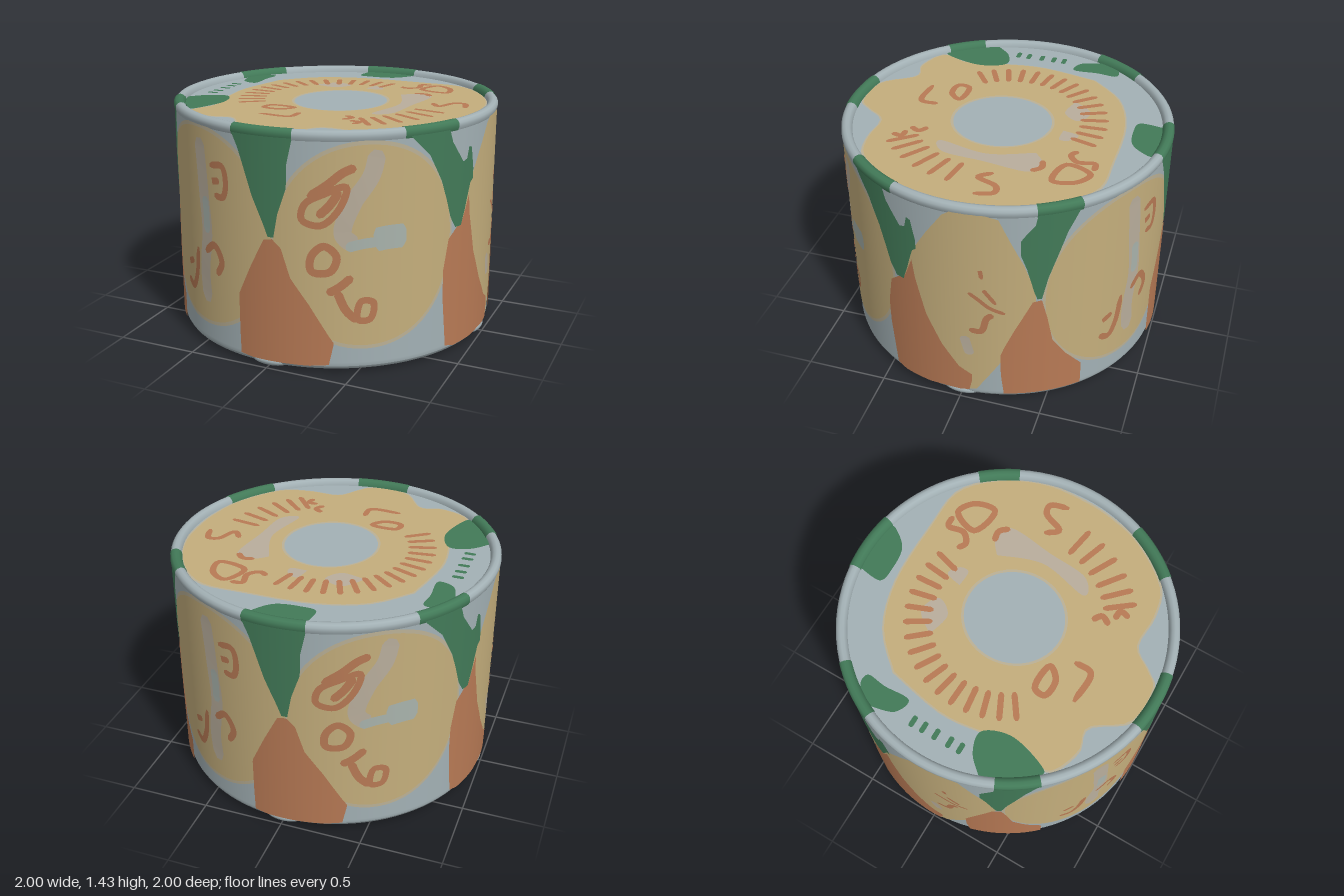
import * as THREE from 'three';

const R = 0.99, LID = 1.39, STEP = 0.002, DEG = Math.PI / 180;
const paint = (name, color) => {
  const m = new THREE.MeshStandardMaterial({ color, side: THREE.DoubleSide });
  m.name = name;
  return m;
};

export function createModel() {
  const group = new THREE.Group();
  const grey = paint('blueGrey', 0xa3b1b5), tan = paint('tan', 0xc4ae7c);
  const orange = paint('orange', 0xb87a55), green = paint('green', 0x427a58);
  const halo = paint('paleEdge', 0xbbb196), pale = paint('paleTaupe', 0xb9ae9c);
  const mist = paint('mistBlue', 0xa9b3ac);

  const add = (name, geo, mat) => {
    const mesh = new THREE.Mesh(geo, mat);
    mesh.name = name;
    group.add(mesh);
    return mesh;
  };
  // Surface maps: wall takes degrees round the drum and height, lid takes x and -z
  const wall = layer => (deg, y) => {
    const r = R + STEP * layer;
    return [r * Math.sin(deg * DEG), y, r * Math.cos(deg * DEG)];
  };
  const lid = layer => (x, v) => [x, LID + STEP * layer, -v];
  // Strip between two rows of points
  const strip = rows => {
    const pos = [], idx = [];
    rows.forEach(([a, b], i) => {
      pos.push(...a, ...b);
      const k = 2 * i;
      if (i) idx.push(k - 2, k, k + 1, k - 2, k + 1, k - 1);
    });
    const g = new THREE.BufferGeometry();
    g.setAttribute('position', new THREE.Float32BufferAttribute(pos, 3));
    g.setIndex(idx);
    g.computeVertexNormals();
    return g;
  };
  // Painted wall patch from columns [degrees, low y, high y]
  const wallPatch = (name, mat, cols, layer, turn) => {
    const map = wall(layer), rows = [];
    for (let i = 0; i < cols.length - 1; i++) {
      const [a, b] = [cols[i], cols[i + 1]];
      const n = Math.max(1, Math.ceil((b[0] - a[0]) / 2));
      for (let k = i ? 1 : 0; k <= n; k++) {
        const [d, lo, hi] = a.map((v, j) => v + (b[j] - v) * k / n);
        rows.push([map(d + turn, lo), map(d + turn, hi)]);
      }
    }
    add(name, strip(rows), mat);
  };
  // Brush stroke of even width along a smooth path; sx is surface units per u
  const stroke = (name, mat, pts, width, map, sx = 1, closed = false) => {
    const curve = new THREE.CatmullRomCurve3(
      pts.map(([u, v]) => new THREE.Vector3(u * sx, v, 0)), closed);
    const n = pts.length * 6, rows = [];
    for (let i = 0; i <= n; i++) {
      const p = curve.getPoint(i / n), t = curve.getTangent(i / n);
      const end = closed ? 1 : Math.min(1, 0.45 + Math.min(i, n - i) * 0.3);
      const w = width / 2 * end;
      rows.push([map((p.x + t.y * w) / sx, p.y - t.x * w), map((p.x - t.y * w) / sx, p.y + t.x * w)]);
    }
    add(name, strip(rows), mat);
  };
  const oval = (c, cy, w, h, e = 2) => {
    const cols = [];
    for (let i = 0; i <= 32; i++) {
      const s = -Math.cos(i / 32 * Math.PI);
      const t = h * Math.pow(Math.max(0, 1 - Math.abs(s) ** e), 1 / e);
      cols.push([c + s * w, cy - t, cy + t]);
    }
    return cols;
  };

  // Drum body with recessed underside
  const lathe = (pts, seg = 96, from = 0, arc = 360) => new THREE.LatheGeometry(
    pts.map(p => new THREE.Vector2(...p)), seg, from * DEG, arc * DEG);
  add('wall', lathe([[0.985, 0.045], [R, 0.07], [R, 1.385]]), grey);
  add('bottomLip', lathe([[0.925, 0.045], [0.935, 0.028], [0.955, 0.02], [0.975, 0.027], [0.985, 0.045]]), grey);
  add('underside', lathe([[0, 0.045], [0.925, 0.045]]), grey);
  add('lid', lathe([[0.94, LID], [0, LID]]), grey);
  const rim = [[R, 1.37], [0.998, 1.39], [0.997, 1.41], [0.985, 1.424], [0.968, 1.43],
    [0.95, 1.425], [0.937, 1.41], [0.933, LID]];
  add('rim', lathe(rim), grey);

  // Underside button and four feet
  const button = add('undersideButton', new THREE.SphereGeometry(1, 24, 12), grey);
  button.scale.set(0.1, 0.025, 0.1);
  button.position.y = 0.045;
  for (let i = 0; i < 4; i++) {
    const foot = add('foot', new THREE.SphereGeometry(1, 24, 12), grey);
    foot.scale.set(0.12, 0.035, 0.055);
    foot.rotation.y = i * Math.PI / 2;
    foot.position.set(0.94 * Math.sin(i * Math.PI / 2), 0.035, 0.94 * Math.cos(i * Math.PI / 2));
  }

  // Wall painting: one half, repeated on the opposite side
  const ovals = [[-29, 0.77, 32, 0.6, 2.15], [34, 0.765, 31, 0.595, 2.1]];
  const pointedOval = [[68, 0.78, 0.82], [74, 0.6, 1.03], [80, 0.36, 1.2], [86, 0.13, 1.35], [90, 0.06, 1.4],
    [96, 0.08, 1.4], [104, 0.3, 1.36], [108, 0.43, 1.2], [112, 0.58, 1.05], [116, 0.78, 0.85]];
  const carrots = [
    [[-10, 0.2, 0.42], [-9.8, 0.06, 0.44], [-5, 0.05, 0.62], [0, 0.05, 0.79], [3, 0.05, 0.8], [6, 0.05, 0.75],
      [9, 0.05, 0.58], [15, 0.05, 0.43], [21.5, 0.06, 0.24], [23, 0.18, 0.2]],
    [[62, 0.4, 0.56], [64, 0.07, 0.74], [68, 0.05, 0.8], [70, 0.05, 0.8], [74, 0.05, 0.97], [75, 0.05, 0.84],
      [78.5, 0.05, 0.6], [84, 0.06, 0.4], [90, 0.06, 0.25], [93.5, 0.07, 0.21], [94.5, 0.15, 0.2]],
    [[104.5, 0.22, 0.38], [105.5, 0.06, 0.43], [109, 0.06, 0.57], [115, 0.06, 0.78], [118, 0.06, 0.79],
      [120, 0.06, 0.65], [122, 0.06, 0.47], [127, 0.06, 0.34], [133, 0.06, 0.22]]];
  const leaves = [
    [[-11.5, 1.39, 1.41], [-9, 1.3, 1.41], [-7, 1.2, 1.41], [-4, 1.04, 1.41], [0, 0.88, 1.41], [1.5, 0.81, 1.41],
      [3.5, 0.81, 1.41], [5, 0.95, 1.41], [8, 1.1, 1.41], [8.3, 1.24, 1.41], [10, 1.37, 1.41]],
    [[48, 1.38, 1.41], [55, 1.26, 1.41], [60, 1.1, 1.41], [62.5, 0.98, 1.41], [64.5, 0.87, 1.31], [67, 0.8, 1.25],
      [70, 0.8, 1.18], [72, 0.9, 1.19], [73, 0.96, 1.26], [74.5, 1.04, 1.25], [76, 1.06, 1.12]],
    [[111, 1.12, 1.22], [113, 1.02, 1.27], [115.5, 0.85, 1.32], [116.5, 0.8, 1.41], [118, 0.8, 1.41],
      [120, 0.95, 1.41], [123, 1.1, 1.41], [126, 1.25, 1.41], [130, 1.38, 1.41]]];
  const rimLeaves = [[-11.5, 21.5], [46, 21], [116, 15]];
  const wallMarks = [ // width, closed, points
    [0.04, true, [[13, 0.93], [14, 1.02], [20, 1.08], [27, 1.12], [25, 1.0], [19, 0.9]]],
    [0.05, false, [[15, 1.06], [21, 1.13], [26, 1.2], [30, 1.23]]],
    [0.05, false, [[18, 0.95], [22, 1.02], [25, 1.1]]],
    [0.045, true, [[16, 0.63], [16, 0.72], [20, 0.78], [24, 0.72], [22, 0.63]]],
    [0.05, false, [[21, 0.5], [25, 0.54], [29, 0.6]]],
    [0.05, false, [[24, 0.52], [27, 0.4], [31, 0.33]]],
    [0.04, true, [[31, 0.34], [32, 0.45], [36, 0.44], [35, 0.34]]],
    [0.04, false, [[-22, 1.16], [-16, 1.17], [-14.5, 1.07], [-16, 0.99], [-20, 0.99]]],
    [0.04, false, [[-21, 1.07], [-17.5, 1.08]]],
    [0.045, false, [[-40, 0.38], [-36, 0.35], [-33, 0.43], [-31, 0.62]]],
    [0.04, false, [[-39, 0.49], [-35, 0.52]]],
    [0.045, false, [[-26, 0.62], [-21, 0.68], [-17.5, 0.59], [-20, 0.5]]],
    [0.025, false, [[94, 0.84], [97, 0.8], [101, 0.74], [106, 0.7]]],
    [0.025, false, [[98, 1.01], [98.5, 0.95]]],
    [0.025, false, [[99, 0.87], [103, 0.77]]],
    [0.04, false, [[94, 0.56], [98, 0.56], [100, 0.66], [102, 0.69]]]];
  const wallSmudges = [
    [pale, 0.1, [[-28, 1.3], [-27, 1.15], [-26, 0.95], [-25, 0.75], [-27, 0.5], [-26, 0.3]]],
    [mist, 0.06, [[-25.5, 0.96], [-25, 0.86], [-25, 0.74]]],
    [pale, 0.1, [[37, 1.32], [35, 1.18], [29, 1.02], [26, 0.85], [30, 0.78]]],
    [mist, 0.06, [[27, 0.77], [32, 0.79], [38, 0.8]]],
    [mist, 0.14, [[36, 0.81], [41, 0.82], [47, 0.82]]],
    [pale, 0.06, [[92, 0.5], [93, 0.43], [94, 0.36]]]];
  for (const turn of [0, 180]) {
    for (const [c, cy, w, h, e] of ovals) {
      wallPatch('ovalEdge', halo, oval(c, cy, w + 0.7, h + 0.015, e), 1, turn);
      wallPatch('oval', tan, oval(c, cy, w - 0.3, h - 0.008, e), 2, turn);
    }
    wallPatch('pointedOval', tan, pointedOval, 2, turn);
    carrots.forEach(c => wallPatch('carrot', orange, c, 4, turn));
    leaves.forEach(c => wallPatch('leaf', green, c, 4, turn));
    for (const [from, arc] of rimLeaves) {
      const skin = rim.map(([r, y], i) => [r + (i < 4 ? 0.003 : i > 5 ? -0.003 : 0), y + (i > 1 ? 0.003 : 0)]);
      add('rimLeaf', lathe(skin, 10, from + turn, arc), green);
    }
    const turned = pts => pts.map(([d, y]) => [d + turn, y]);
    for (const [mat, w, pts] of wallSmudges) stroke('smudge', mat, turned(pts), w, wall(3), R * DEG);
    for (const [w, closed, pts] of wallMarks) stroke('brushMark', orange, turned(pts), w, wall(4), R * DEG, closed);
  }

  // Lid painting, outlines given as [x, z]
  const lidPatch = (name, mat, pts, layer, hole) => {
    const outline = new THREE.SplineCurve([...pts, pts[0]].map(([x, z]) => new THREE.Vector2(x, -z)));
    const shape = new THREE.Shape(outline.getPoints(90));
    if (hole) shape.holes.push(new THREE.Path().absellipse(0.04, -0.02, hole, hole * 1.05, 0, Math.PI * 2));
    const g = new THREE.ShapeGeometry(shape, 24).rotateX(-Math.PI / 2);
    add(name, g.translate(0, LID + STEP * layer, 0), mat);
  };
  const blob = [[-0.6, -0.4], [-0.4, -0.6], [-0.1, -0.7], [0.3, -0.71], [0.58, -0.69], [0.78, -0.5], [0.89, -0.25],
    [0.91, 0], [0.89, 0.2], [0.82, 0.42], [0.64, 0.66], [0.45, 0.72], [0.24, 0.72], [0.14, 0.84], [0.05, 0.92],
    [-0.18, 0.9], [-0.33, 0.71], [-0.48, 0.73], [-0.66, 0.64], [-0.6, 0.45], [-0.65, 0.2], [-0.67, -0.05]];
  lidPatch('lidPaintEdge', halo, blob.map(([x, z]) => [x * 1.015, z * 1.015]), 1, 0.285);
  lidPatch('lidPaint', tan, blob, 2, 0.3);
  lidPatch('lidLeaf', green, [[-0.15, -0.92], [-0.16, -0.78], [-0.05, -0.76], [0.08, -0.78], [0.16, -0.86], [0.17, -0.92], [0, -0.935]], 3);
  lidPatch('lidLeaf', green, [[-0.84, -0.4], [-0.8, -0.27], [-0.7, -0.24], [-0.7, -0.4], [-0.69, -0.52], [-0.77, -0.52]], 3);
  lidPatch('lidLeaf', green, [[-0.88, 0.33], [-0.78, 0.23], [-0.65, 0.21], [-0.59, 0.38], [-0.66, 0.61], [-0.72, 0.6], [-0.82, 0.46]], 3);
  lidPatch('lidSmudge', pale, [[0.33, -0.27], [0.42, -0.33], [0.53, -0.28], [0.5, 0], [0.47, 0.25], [0.36, 0.3], [0.42, 0]], 3);
  lidPatch('lidSmudge', pale, [[-0.3, -0.35], [-0.2, -0.47], [-0.08, -0.42], [-0.15, -0.32]], 3);
  lidPatch('lidSmudge', pale, [[0.05, -0.36], [0.08, -0.46], [0.15, -0.42], [0.15, -0.36]], 3);

  // Rays of short strokes round the lid, then the curled ones
  const ray = (deg, r0, r1) => stroke('lidRay', orange,
    [r0, (r0 + r1) / 2, r1].map(r => [r * Math.cos(deg * DEG), r * Math.sin(deg * DEG)]), 0.035, lid(4));
  for (let d = 74; d <= 216; d += 9.4) ray(d, 0.44, 0.61);
  for (const d of [-10, -19, -28, -37, -45, -52]) ray(d, 0.56, 0.76);
  const curls = [
    [true, [[0.4, -0.47], [0.46, -0.62], [0.56, -0.56], [0.58, -0.43]]],
    [false, [[0.25, -0.5], [0.3, -0.47], [0.36, -0.52], [0.35, -0.62], [0.42, -0.63]]],
    [false, [[0.4, -0.33], [0.47, -0.34], [0.52, -0.29]]],
    [false, [[0.6, -0.1], [0.66, -0.03], [0.72, -0.15], [0.78, -0.16], [0.82, -0.05]]],
    [true, [[-0.28, 0.34], [-0.29, 0.41], [-0.18, 0.42], [-0.12, 0.35]]],
    [false, [[-0.24, 0.57], [-0.04, 0.57], [-0.03, 0.46]]],
    [false, [[0.25, 0.42], [0.3, 0.46], [0.27, 0.52]]],
    [false, [[0.32, 0.53], [0.38, 0.54], [0.37, 0.6]]]];
  for (const [closed, pts] of curls)
    stroke('lidCurl', orange, pts.map(([x, z]) => [x, -z]), 0.038, lid(4), 1, closed);
  for (const z of [-0.15, -0.08, 0, 0.09, 0.16])
    stroke('lidDab', green, [[-0.83, -z], [-0.79, -z], [-0.76, -z]], 0.03, lid(4));

  return group;
}
